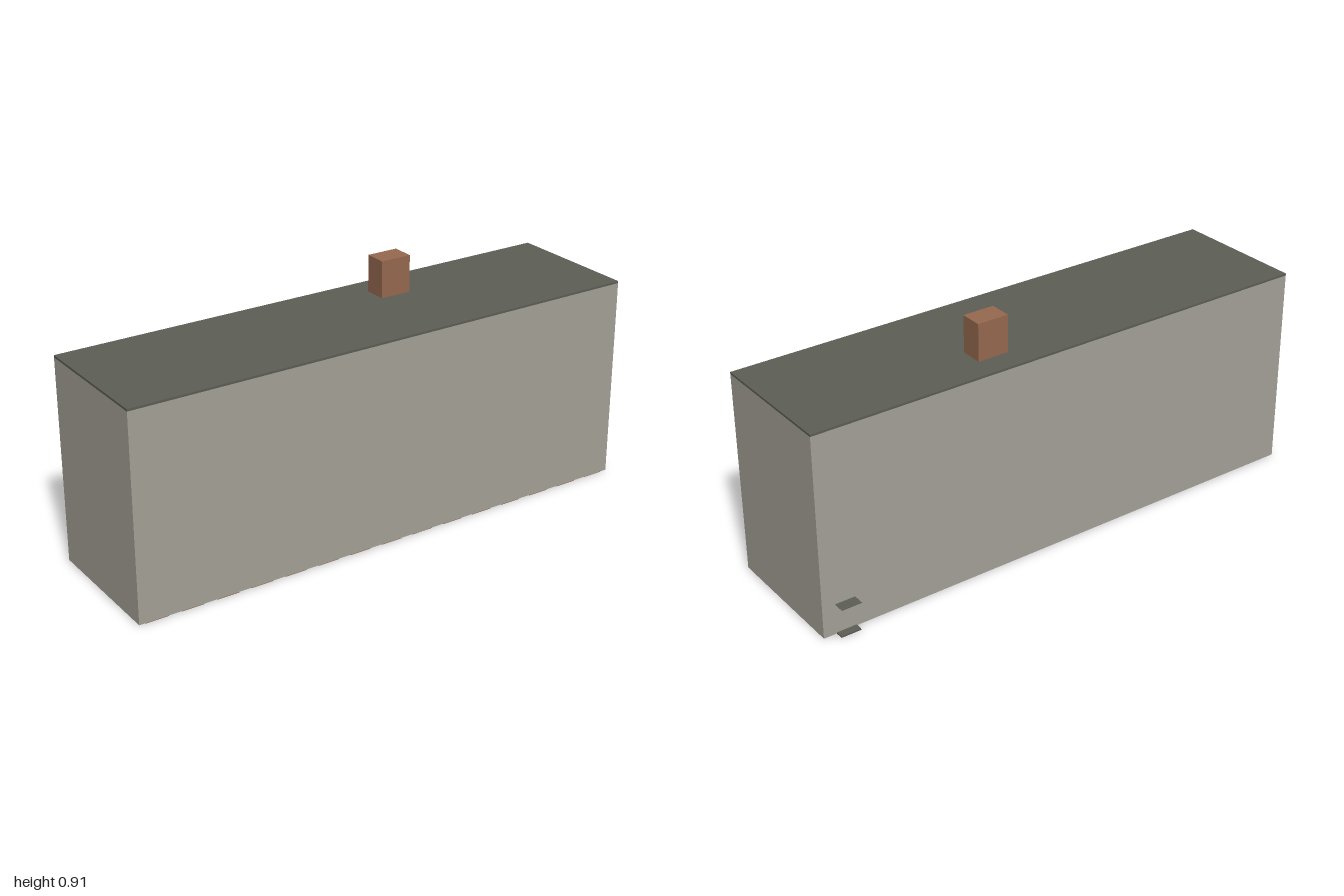
import * as THREE from 'three';

export function createModel() {
  const model = new THREE.Group();
  model.name = 'building';

  const material = (name, color) => {
    const m = new THREE.MeshStandardMaterial({ color });
    m.name = name;
    return m;
  };
  const wall = material('warm grey wall', 0xa5a298);
  const slate = material('dark slate', 0x5d5e56);
  const brick = material('brick brown', 0x976950);

  // Box given by its extents along each axis
  const box = (name, mat, [x0, x1], [y0, y1], [z0, z1]) => {
    const mesh = new THREE.Mesh(new THREE.BoxGeometry(x1 - x0, y1 - y0, z1 - z0), mat);
    mesh.position.set((x0 + x1) / 2, (y0 + y1) / 2, (z0 + z1) / 2);
    mesh.name = name;
    model.add(mesh);
  };

  const front = 0.278, back = -0.236;

  // Main block, flat roof and chimney
  box('walls', wall, [-1, 1], [0.002, 0.76], [back, front]);
  box('roof', slate, [-1, 1], [0.76, 0.768], [back, front]);
  box('chimney', brick, [0.187, 0.307], [0.768, 0.906], [-0.145, -0.06]);

  // Back door canopy and step
  box('canopy', slate, [0.875, 0.95], [0.116, 0.118], [-0.278, back]);
  box('doorStep', slate, [0.875, 0.95], [0, 0.006], [-0.264, back]);

  // Row of round-ended brick footings under the front edge
  const count = 15, pitch = 2 / count, r = 0.042, depth = 0.17;
  const outline = new THREE.Shape();
  outline.moveTo(-r, 0);
  outline.lineTo(r, 0);
  outline.lineTo(r, depth - r);
  outline.absarc(0, depth - r, r, 0, Math.PI, false);
  outline.closePath();
  const footing = new THREE.ExtrudeGeometry(outline, { depth: 0.002, bevelEnabled: false, curveSegments: 8 });
  footing.rotateX(-Math.PI / 2);
  const footings = new THREE.Group();
  footings.name = 'footings';
  for (let i = 0; i < count; i++) {
    const mesh = new THREE.Mesh(footing, brick);
    mesh.name = 'footing';
    mesh.position.set(-1 + (i + 0.5) * pitch, 0, front);
    footings.add(mesh);
  }
  model.add(footings);

  return model;
}
